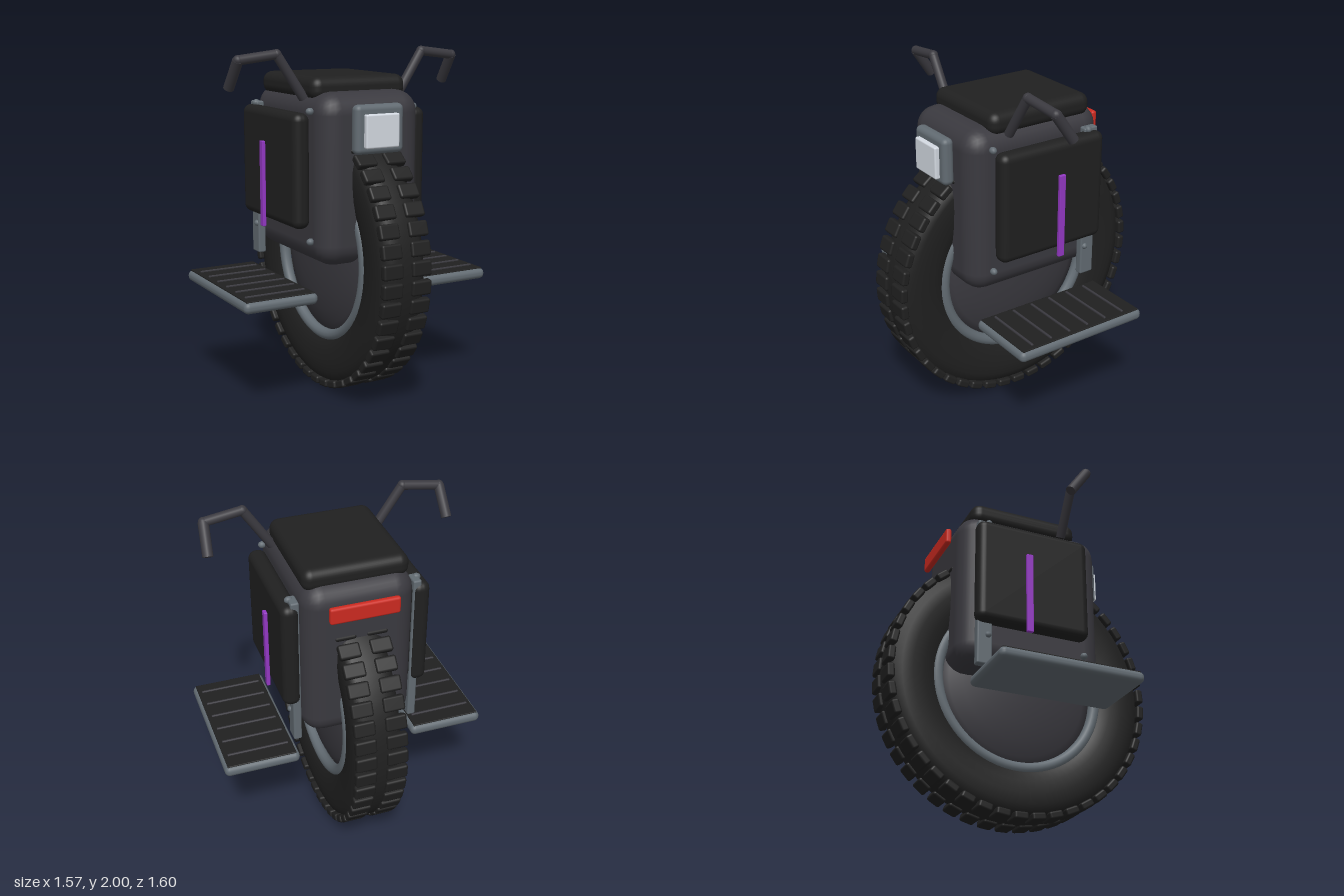
import * as THREE from 'three';
import { RoundedBoxGeometry } from 'three/addons/geometries/RoundedBoxGeometry.js';

const mat = (name, color) => {
  const m = new THREE.MeshStandardMaterial({ color });
  m.name = name;
  return m;
};

export function createModel() {
  const model = new THREE.Group();
  model.name = 'electricUnicycle';

  const rubber = mat('black rubber', 0x202020);
  const shell = mat('charcoal shell', 0x3a393f);
  const metal = mat('grey metal', 0x626b72);
  const purple = mat('purple trim', 0x9438c4);
  const red = mat('red lamp', 0xcc2a20);
  const lens = mat('pale lens', 0xd4dae2);

  const add = (name, geometry, material, x = 0, y = 0, z = 0, parent = model) => {
    const mesh = new THREE.Mesh(geometry, material);
    mesh.name = name;
    mesh.position.set(x, y, z);
    parent.add(mesh);
    return mesh;
  };
  // rounded box given by its limits on each axis
  const block = (name, material, [x0, x1], [y0, y1], [z0, z1], radius, segments = 3, parent = model) =>
    add(name, new RoundedBoxGeometry(x1 - x0, y1 - y0, z1 - z0, segments, radius), material,
      (x0 + x1) / 2, (y0 + y1) / 2, (z0 + z1) / 2, parent);
  // round bar between two points
  const bar = (name, a, b, radius, material, parent) => {
    const dir = b.clone().sub(a);
    const mid = a.clone().add(b).multiplyScalar(0.5);
    const mesh = add(name, new THREE.CylinderGeometry(radius, radius, dir.length(), 16), material,
      mid.x, mid.y, mid.z, parent);
    mesh.quaternion.setFromUnitVectors(new THREE.Vector3(0, 1, 0), dir.normalize());
  };
  const lathe = (points, segments) =>
    new THREE.LatheGeometry(points.map(([r, h]) => new THREE.Vector2(r, h)), segments).rotateZ(Math.PI / 2);

  // wheel, turning about the x axis
  const wheel = new THREE.Group();
  wheel.name = 'wheel';
  wheel.position.y = 0.8;
  model.add(wheel);
  const half = [[0.49, 0.095], [0.53, 0.117], [0.58, 0.132], [0.65, 0.14], [0.71, 0.137], [0.755, 0.122], [0.775, 0.09], [0.783, 0.04]];
  add('tyre', lathe([...half.map(([r, h]) => [r, -h]), ...half.slice().reverse()], 72), rubber, 0, 0, 0, wheel);

  const dome = [[0, 0.14], [0.12, 0.137], [0.24, 0.126], [0.34, 0.108], [0.42, 0.084], [0.48, 0.055]];
  add('hub', lathe([...dome.map(([r, h]) => [r, -h]), ...dome.slice().reverse()], 64), shell, 0, 0, 0, wheel);
  for (const side of [-1, 1]) {
    add('rim', new THREE.TorusGeometry(0.492, 0.034, 12, 72).rotateY(Math.PI / 2), metal, side * 0.09, 0, 0, wheel);
  }

  // two rows of tread blocks
  const treadCount = 46;
  const treadGeometry = new RoundedBoxGeometry(0.122, 0.045, 0.084, 2, 0.013);
  for (let i = 0; i < treadCount; i++) {
    const a = (i / treadCount) * Math.PI * 2;
    for (const side of [-1, 1]) {
      const tread = add('treadBlock', treadGeometry, rubber, side * 0.09, Math.cos(a) * 0.777, Math.sin(a) * 0.777, wheel);
      tread.rotation.x = a;
    }
  }

  // body and seat
  block('body', shell, [-0.32, 0.32], [0.81, 1.77], [-0.44, 0.44], 0.12, 3);
  block('seat', rubber, [-0.3, 0.3], [1.72, 1.85], [-0.37, 0.295], 0.055, 4);

  // lamps
  block('headlightHousing', metal, [-0.152, 0.152], [1.44, 1.71], [0.435, 0.505], 0.03);
  block('headlightLens', lens, [-0.105, 0.105], [1.475, 1.66], [0.495, 0.532], 0.01, 2);
  block('tailLight', red, [-0.197, 0.197], [1.592, 1.69], [-0.5, -0.465], 0.014, 2);

  // everything that repeats on both sides; s = 1 is the left
  for (const s of [1, -1]) {
    const side = new THREE.Group();
    side.name = s > 0 ? 'leftSide' : 'rightSide';
    model.add(side);
    const span = (a, b) => (s > 0 ? [a, b] : [-b, -a]);

    block('sidePad', rubber, span(0.32, 0.423), [1.02, 1.66], [-0.38, 0.31], 0.045, 4, side);
    block('accentStrip', purple, span(0.422, 0.444), [0.98, 1.475], [-0.095, -0.055], 0.005, 1, side);
    block('pedalHanger', metal, span(0.322, 0.37), [0.77, 1.68], [-0.365, -0.275], 0.01, 2, side);
    for (const z of [0.31, -0.3]) {
      for (const y of [0.95, 1.67]) {
        const bolt = add('bolt', new THREE.SphereGeometry(0.02, 12, 8), metal, s * (z < 0 ? 0.362 : 0.33), y, z, side);
        bolt.scale.x = 1.2;
      }
    }

    // pedal with ridged grip
    block('pedal', metal, span(0.343, 0.785), [0.625, 0.69], [-0.4, 0.437], 0.03, 3, side);
    block('pedalGrip', rubber, span(0.362, 0.768), [0.68, 0.694], [-0.382, 0.418], 0.004, 1, side);
    for (let i = 0; i < 6; i++) {
      const z = -0.285 + i * 0.125;
      block('gripRidge', shell, span(0.385, 0.745), [0.688, 0.702], [z - 0.007, z + 0.007], 0.004, 1, side);
    }

    // bent handlebar
    const path = [[0.305, 1.73, 0.19], [0.465, 1.972, 0.185], [0.685, 1.945, 0.172], [0.695, 1.79, 0.065]]
      .map(([x, y, z]) => new THREE.Vector3(s * x, y, z));
    for (let i = 0; i < 3; i++) {
      bar('handlebar', path[i], path[i + 1], i === 2 ? 0.03 : 0.027, shell, side);
      if (i) add('handlebarBend', new THREE.SphereGeometry(0.028, 16, 12), shell, ...path[i].toArray(), side);
    }
  }
  return model;
}
